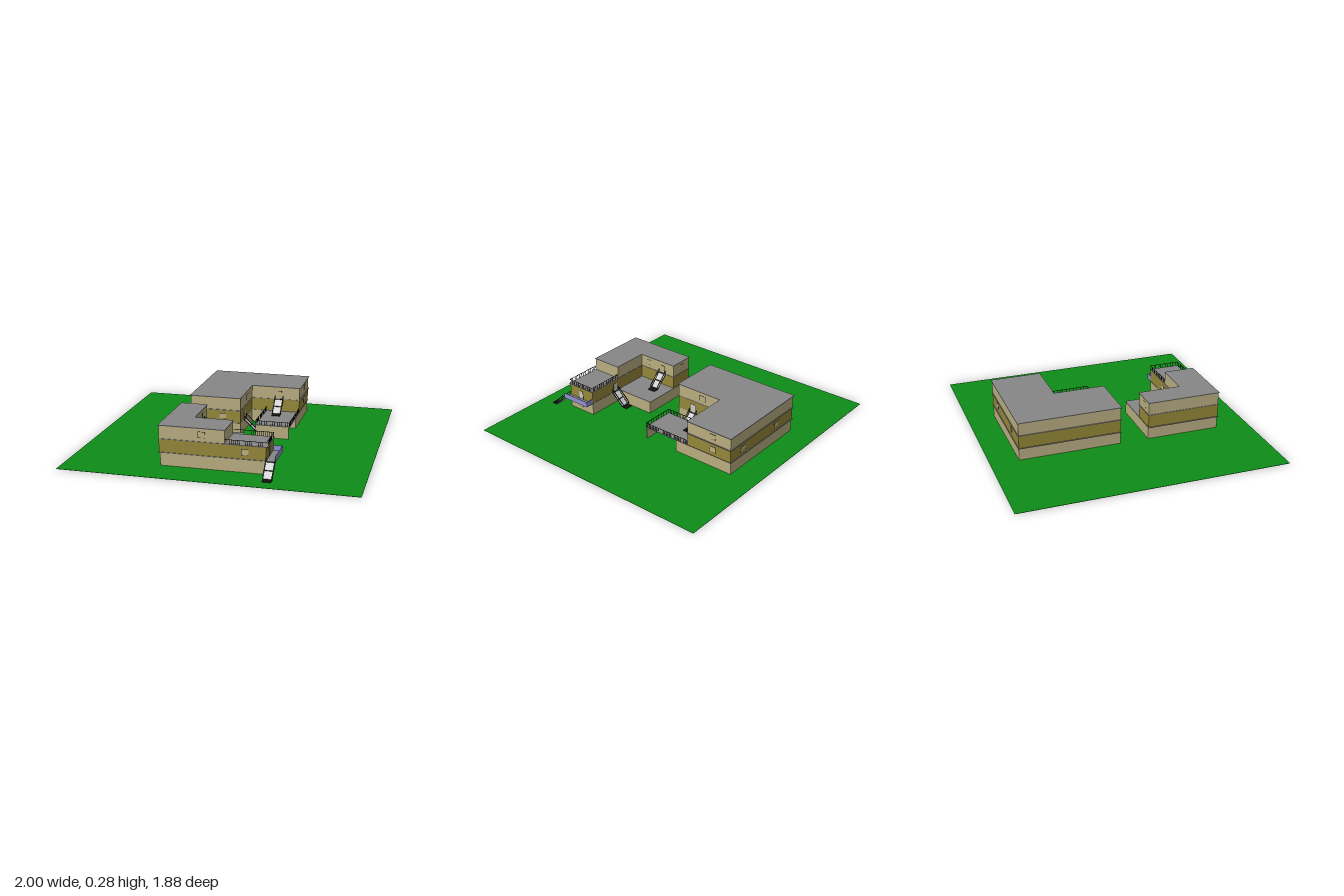
import * as THREE from 'three';
import { mergeGeometries } from 'three/addons/utils/BufferGeometryUtils.js';

const mat = (color) => new THREE.MeshStandardMaterial({ color, side: THREE.DoubleSide });
const M = {
  grass: mat(0x0e8c19), tan: mat(0xb8ad80), ochre: mat(0x948738), roof: mat(0x868686),
  dark: mat(0x151515), blue: mat(0x9090d0), grey: mat(0xcccccc), white: mat(0xf4f4f4),
};
const F1 = 0.094, F2 = 0.188, F3 = 0.28; // storey heights

function add(parent, name, geo, material) {
  const m = new THREE.Mesh(geo, material);
  m.name = name;
  parent.add(m);
  return m;
}

// axis-aligned box from its two corners
function boxGeo(x0, x1, y0, y1, z0, z1) {
  return new THREE.BoxGeometry(x1 - x0, y1 - y0, z1 - z0)
    .translate((x0 + x1) / 2, (y0 + y1) / 2, (z0 + z1) / 2);
}

// vertical prism over an [x, z] outline
function prism(outline, y0, y1) {
  const s = new THREE.Shape(outline.map(([x, z]) => new THREE.Vector2(x, -z)));
  return new THREE.ExtrudeGeometry(s, { depth: y1 - y0, bevelEnabled: false })
    .rotateX(-Math.PI / 2).translate(0, y0, 0);
}

// thin square bar between two points
function bar(a, b, t) {
  const p = new THREE.Vector3(...a), q = new THREE.Vector3(...b);
  const d = q.clone().sub(p), len = d.length();
  const rot = new THREE.Quaternion().setFromUnitVectors(new THREE.Vector3(0, 1, 0), d.normalize());
  return new THREE.BoxGeometry(t, len, t).applyQuaternion(rot)
    .translate((p.x + q.x) / 2, (p.y + q.y) / 2, (p.z + q.z) / 2);
}

// railing with close balusters along an [x, z] path
function railing(parent, path, y) {
  const geos = [], h = 0.03;
  for (let i = 0; i + 1 < path.length; i++) {
    const [x0, z0] = path[i], [x1, z1] = path[i + 1];
    geos.push(bar([x0, y + h, z0], [x1, y + h, z1], 0.003));
    const n = Math.round(Math.hypot(x1 - x0, z1 - z0) / 0.014);
    for (let k = 0; k <= n; k++) {
      const x = x0 + (x1 - x0) * k / n, z = z0 + (z1 - z0) * k / n;
      geos.push(bar([x, y, z], [x, y + h, z], 0.0018));
    }
  }
  add(parent, 'railing', mergeGeometries(geos), M.dark);
}

// stair flight: top edge at (x, y + F1, z), running down along local +z
function stairs(parent, x, y, z, turn) {
  const g = new THREE.Group();
  g.name = 'stairs';
  const run = 0.095, w = 0.03;
  const ramp = new THREE.BoxGeometry(2 * w, 0.004, Math.hypot(run, F1))
    .rotateX(Math.atan2(F1, run)).translate(0, F1 / 2, run / 2);
  add(g, 'flight', ramp, M.grey);
  const geos = [boxGeo(-w, w, 0.001, 0.006, run, run + 0.038)];
  for (const f of [0.04, 0.5, 0.96]) { // cross bars
    geos.push(bar([-w, F1 * (1 - f) + 0.002, run * f], [w, F1 * (1 - f) + 0.002, run * f], 0.005));
  }
  for (const s of [-w, w]) { // stringer, handrail and posts
    geos.push(bar([s, F1, 0], [s, 0.003, run], 0.004));
    geos.push(bar([s, F1 + 0.026, 0], [s, 0.027, run + 0.004], 0.004));
    geos.push(bar([s, F1, 0.002], [s, F1 + 0.026, 0.002], 0.003));
    geos.push(bar([s, 0.002, run + 0.004], [s, 0.027, run + 0.004], 0.003));
  }
  add(g, 'stairFrame', mergeGeometries(geos), M.dark);
  g.position.set(x, y, z);
  g.rotation.y = turn;
  parent.add(g);
}

// framed opening on a wall; turn faces it outward (0 is +z)
function opening(parent, name, x, y, z, turn, w = 0.05, h = 0.042, pane = M.tan) {
  const g = new THREE.Group();
  g.name = name;
  add(g, 'frame', new THREE.BoxGeometry(w, h, 0.002), M.dark);
  add(g, 'pane', new THREE.BoxGeometry(w - 0.004, h - 0.004, 0.004), pane);
  g.position.set(x, y, z);
  g.rotation.y = turn;
  parent.add(g);
}

// storeys with a thin slab on top of each
function storeys(parent, outlines, slabs) {
  const tops = [0, F1, F2, F3];
  outlines.forEach((o, i) => {
    add(parent, 'storey' + (i + 1), prism(o, tops[i], tops[i + 1] - 0.004), i === 1 ? M.ochre : M.tan);
    add(parent, 'slab' + (i + 1), prism(slabs[i], tops[i + 1] - 0.004, tops[i + 1]), M.roof);
  });
}

// L-shaped outline: back block to xb, front block to xf, step at zs
const ell = (x0, xb, xf, z0, zs, z1) =>
  [[x0, z0], [xb, z0], [xb, zs], [xf, zs], [xf, z1], [x0, z1]];

export function createModel() {
  const root = new THREE.Group();
  root.name = 'housingSite';
  add(root, 'lawn', boxGeo(-1, 1, 0, 0.002, -0.94, 0.94), M.grass);
  const E = Math.PI / 2, W = -Math.PI / 2, N = Math.PI, S = 0;

  // front house, stepped terraces
  const a = new THREE.Group();
  a.name = 'frontHouse';
  root.add(a);
  storeys(a, [
    ell(-0.36, 0.08, 0.355, 0.182, 0.487, 0.705),
    ell(-0.368, -0.188, 0.355, 0.182, 0.487, 0.705),
    ell(-0.368, -0.188, 0.08, 0.182, 0.487, 0.705),
  ], [
    ell(-0.375, 0.08, 0.36, 0.178, 0.485, 0.71),
    ell(-0.372, -0.185, 0.362, 0.178, 0.485, 0.71),
    ell(-0.375, -0.185, 0.083, 0.178, 0.485, 0.71),
  ]);
  railing(a, [[0.083, 0.707], [0.357, 0.707], [0.357, 0.488], [0.083, 0.488]], F2);
  // side balcony with solid parapet
  add(a, 'balconyFloor', boxGeo(0.355, 0.418, F1 - 0.004, F1, 0.487, 0.71), M.roof);
  add(a, 'balconyParapet', mergeGeometries([
    boxGeo(0.414, 0.418, F1 - 0.004, 0.13, 0.487, 0.71),
    boxGeo(0.355, 0.414, F1 - 0.004, 0.13, 0.487, 0.491),
  ]), M.blue);
  stairs(a, 0.386, 0, 0.71, S);
  stairs(a, 0.113, 0, 0.487, N);
  stairs(a, -0.188, F1, 0.285, E);
  opening(a, 'door', 0.113, 0.127, 0.487, N, 0.036, 0.064, M.white);
  opening(a, 'door', -0.188, 0.22, 0.285, E, 0.036, 0.06);
  opening(a, 'door', 0.355, 0.127, 0.6, E, 0.036, 0.064, M.white);
  opening(a, 'window', -0.075, 0.235, 0.705, S);
  opening(a, 'window', 0.215, 0.14, 0.705, S);
  opening(a, 'window', 0.355, 0.05, 0.605, E);
  opening(a, 'window', -0.188, 0.235, 0.415, E);
  opening(a, 'window', -0.188, 0.14, 0.328, E, 0.05, 0.042, M.white);
  opening(a, 'window', -0.29, 0.235, 0.182, N);

  // rear house, around a narrow court
  const b = new THREE.Group();
  b.name = 'rearHouse';
  root.add(b);
  const upper = ell(-0.368, 0.36, 0, -0.742, -0.387, -0.022);
  const upperSlab = ell(-0.375, 0.368, 0.002, -0.748, -0.384, -0.016);
  const court = (x0, x1, z0, z1, zs) =>
    [[x0, z0], [x1, z0], [x1, zs], [0.11, zs], [0.11, -0.385], [0, -0.385], [0, z1], [x0, z1]];
  storeys(b, [court(-0.36, 0.355, -0.742, -0.022, -0.285), upper, upper],
    [court(-0.375, 0.362, -0.748, -0.018, -0.018), upperSlab, upperSlab]);
  add(b, 'terraceWall', boxGeo(0.112, 0.355, 0, F1 - 0.004, -0.028, -0.022), M.tan);
  railing(b, [[0.113, -0.38], [0.113, -0.021], [0.358, -0.021], [0.358, -0.38]], F1);
  stairs(b, 0.208, F1, -0.385, S);
  stairs(b, 0.002, 0, -0.155, E);
  opening(b, 'door', 0, 0.127, -0.155, E, 0.045, 0.064, M.white);
  opening(b, 'door', 0.208, 0.22, -0.387, S, 0.036, 0.06);
  opening(b, 'window', 0, 0.235, -0.235, E);
  opening(b, 'window', 0.36, 0.235, -0.595, E);
  opening(b, 'window', 0.36, 0.14, -0.595, E);
  opening(b, 'window', -0.13, 0.14, -0.022, S);
  opening(b, 'window', 0.22, 0.14, -0.742, N);
  opening(b, 'window', -0.17, 0.14, -0.742, N);
  return root;
}
